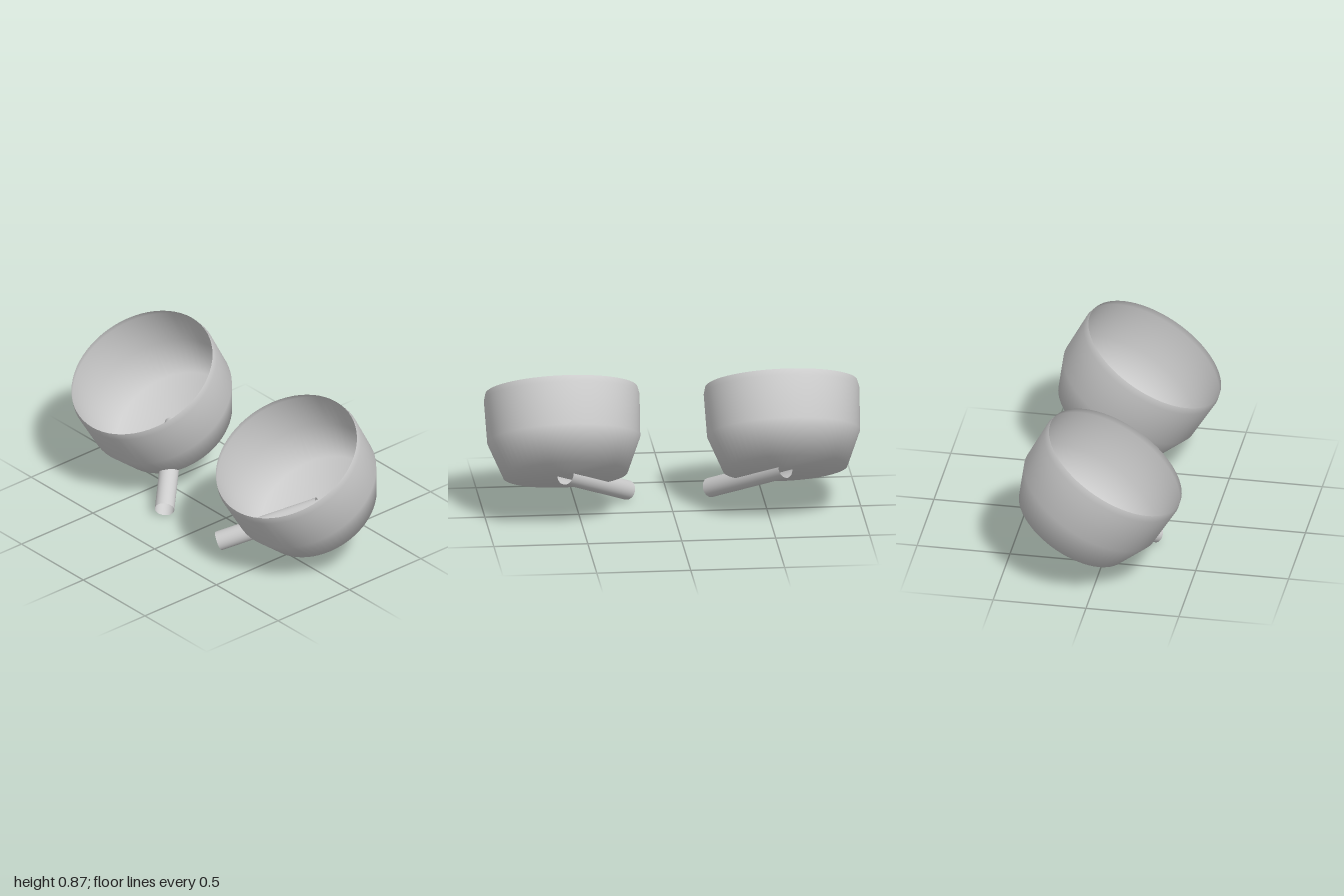
import * as THREE from 'three';

export function createModel() {
  const model = new THREE.Group();
  const grey = new THREE.MeshStandardMaterial({ color: 0xcccccc, side: THREE.DoubleSide });
  grey.name = 'light grey';

  // Thin bowl: flat base, flared lower wall, slightly drawn-in rim
  const profile = [[0, 0], [0.33, 0], [0.406, 0.19], [0.413, 0.42], [0.404, 0.456]]
    .map(([r, y]) => new THREE.Vector2(r, y));
  const bowlGeometry = new THREE.LatheGeometry(profile, 64);

  // Open stem lying in the plane of the base, from its centre outwards
  const reach = new THREE.Vector3(-0.445, 0, -0.365);
  const stemGeometry = new THREE.CylinderGeometry(0.052, 0.052, reach.length(), 32, 1, true);

  for (const side of [1, -1]) {
    const cup = new THREE.Group();
    cup.name = side > 0 ? 'frontCup' : 'backCup';
    cup.position.set(0.145, 0.265, 0.585 * side);
    cup.rotation.z = Math.PI / 6;

    const bowl = new THREE.Mesh(bowlGeometry, grey);
    bowl.name = 'bowl';

    // Each stem points towards the middle of the pair
    const end = reach.clone();
    end.z *= side;
    const stem = new THREE.Mesh(stemGeometry, grey);
    stem.name = 'stem';
    stem.position.copy(end).multiplyScalar(0.5);
    stem.quaternion.setFromUnitVectors(new THREE.Vector3(0, 1, 0), end.clone().normalize());

    cup.add(bowl, stem);
    model.add(cup);
  }
  return model;
}
